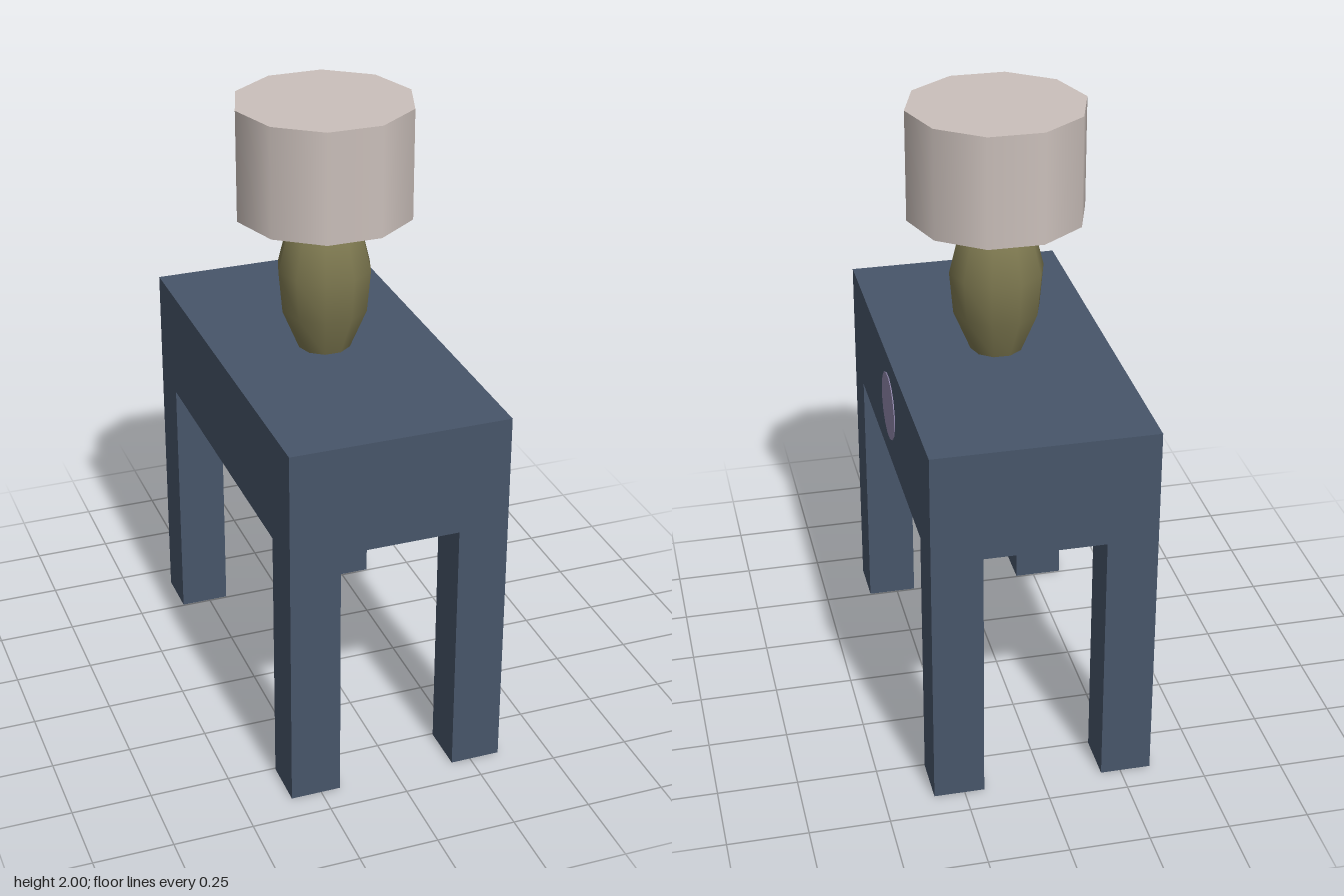
import * as THREE from 'three';

const mat = (name, color, side = THREE.FrontSide) => {
  const m = new THREE.MeshStandardMaterial({ color, side });
  m.name = name;
  return m;
};

export function createModel() {
  const model = new THREE.Group();
  model.name = 'tableWithLamp';
  const wood = mat('slate blue', 0x475569);
  const cloth = mat('pale linen', 0xcbc0bb);
  const ceramic = mat('olive', 0x7c774f, THREE.DoubleSide);
  const lilac = mat('lilac', 0x8f86aa);

  const add = (name, geometry, material, x = 0, y = 0, z = 0) => {
    const mesh = new THREE.Mesh(geometry, material);
    mesh.name = name;
    mesh.position.set(x, y, z);
    model.add(mesh);
    return mesh;
  };

  // Table: deep top block on four square legs
  const W = 0.692, D = 1.325, H = 1.2, legH = 0.845, leg = 0.158;
  add('tableTop', new THREE.BoxGeometry(W, H - legH, D), wood, 0, (H + legH) / 2, 0);
  const legGeometry = new THREE.BoxGeometry(leg, legH, leg);
  for (const sx of [1, -1]) {
    for (const sz of [1, -1]) {
      add(`${sz > 0 ? 'front' : 'back'}${sx > 0 ? 'Left' : 'Right'}Leg`, legGeometry, wood,
        sx * (W - leg) / 2, legH / 2, sz * (D - leg) / 2);
    }
  }

  // Round knob plate on the left side
  const knob = new THREE.CylinderGeometry(0.109, 0.109, 0.006, 16, 1, false, Math.PI / 16);
  knob.rotateZ(-Math.PI / 2);
  add('knob', knob, lilac, W / 2, 1.026, 0);

  // Lamp: ten-sided vase base and drum shade
  const profile = [[0, 1.2], [0.083, 1.2], [0.137, 1.33], [0.149, 1.465], [0.122, 1.573], [0.065, 1.655]]
    .map(([r, y]) => new THREE.Vector2(r, y));
  // the foot keeps its own disc so the vase wall stays smoothly shaded
  add('lampBase', new THREE.LatheGeometry(profile.slice(1), 10, Math.PI / 2), ceramic);
  add('lampFoot', new THREE.LatheGeometry(profile.slice(0, 2), 10, Math.PI / 2), ceramic, 0, 0.001, 0);
  add('lampShade', new THREE.CylinderGeometry(0.278, 0.278, 0.35, 10, 1, false, Math.PI / 2), cloth, 0, 1.825, 0);

  return model;
}
